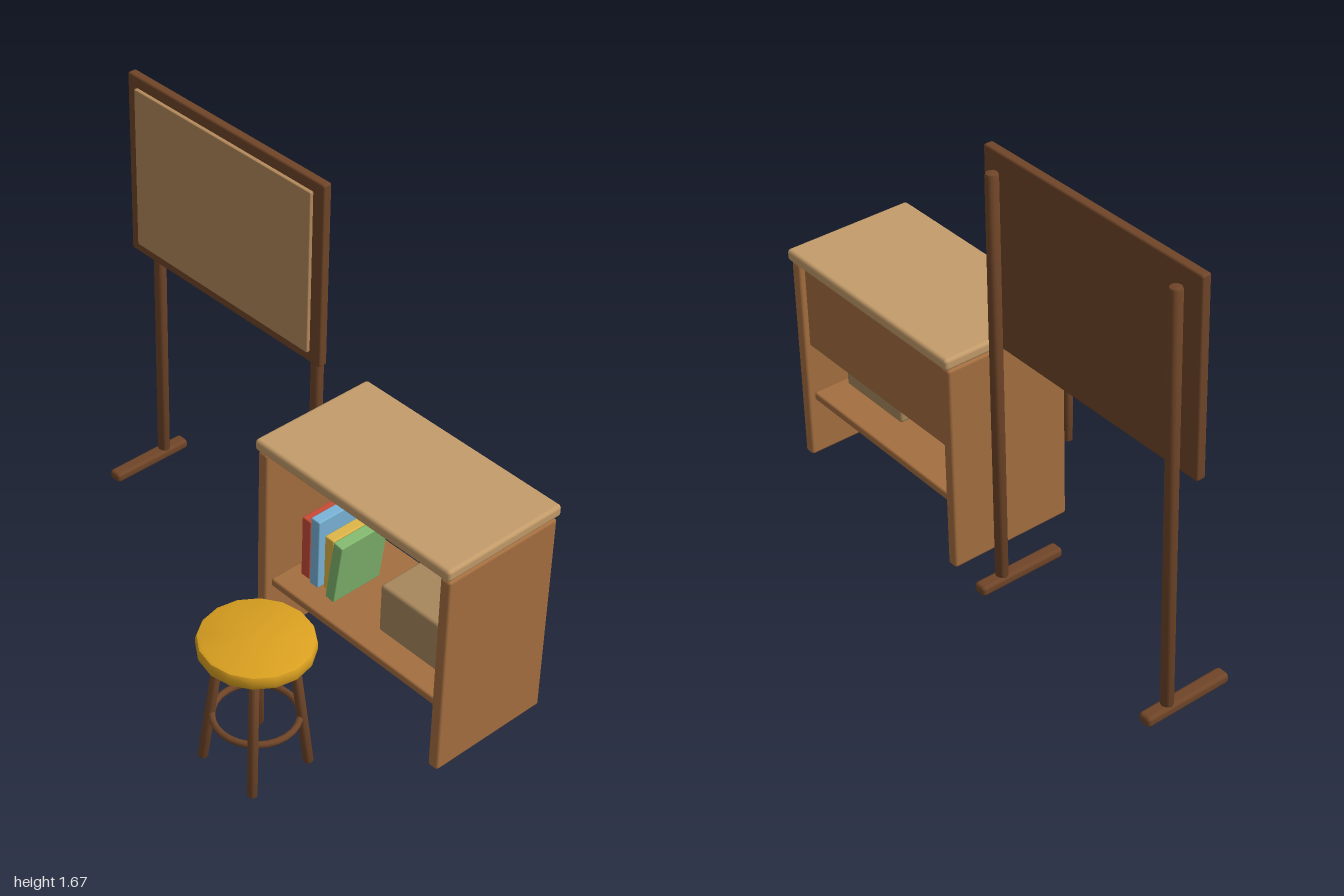
import * as THREE from 'three';
import { RoundedBoxGeometry } from 'three/addons/geometries/RoundedBoxGeometry.js';
import { toCreasedNormals } from 'three/addons/utils/BufferGeometryUtils.js';

const mat = (color) => new THREE.MeshStandardMaterial({ color });
const darkWood = mat(0x6f4528), midWood = mat(0xa56f40), lightWood = mat(0xc49c6a);
const cork = mat(0xb58a5c), cardboard = mat(0xa8875c), gold = mat(0xdaa020);

function add(parent, name, geometry, material) {
  const mesh = new THREE.Mesh(geometry, material);
  mesh.name = name;
  parent.add(mesh);
  return mesh;
}

// Soft-edged box given by its extents along x, y and z
function slab(parent, name, [x0, x1], [y0, y1], [z0, z1], material, bevel = 0.008) {
  const geometry = new RoundedBoxGeometry(x1 - x0, y1 - y0, z1 - z0, 2, bevel);
  const mesh = add(parent, name, geometry, material);
  mesh.position.set((x0 + x1) / 2, (y0 + y1) / 2, (z0 + z1) / 2);
  return mesh;
}

// Upright disc or rod with bevelled rims, base at y = 0
function bevelledRod(radius, height, bevel, sides) {
  const profile = [
    [0, 0], [radius - bevel, 0], [radius - bevel * 0.3, bevel * 0.3], [radius, bevel],
    [radius, height - bevel], [radius - bevel * 0.3, height - bevel * 0.3],
    [radius - bevel, height], [0, height],
  ].map(([x, y]) => new THREE.Vector2(x, y));
  return toCreasedNormals(new THREE.LatheGeometry(profile, sides), 0.7);
}

function createBoard() {
  const board = new THREE.Group();
  board.name = 'noticeBoard';
  slab(board, 'boardFrame', [-1, 0.005], [0.95, 1.675], [-0.436, -0.4], darkWood);
  slab(board, 'boardPanel', [-0.95, -0.045], [0.995, 1.632], [-0.425, -0.386], cork, 0.004);
  for (const x of [-0.921, -0.073]) {
    const post = add(board, 'boardPost', bevelledRod(0.023, 1.6, 0.01, 16), darkWood);
    post.position.set(x, 0.018, -0.465);
    slab(board, 'boardFoot', [x - 0.027, x + 0.027], [0.004, 0.044], [-0.565, -0.217], darkWood, 0.014);
  }
  return board;
}

function createDesk() {
  const desk = new THREE.Group();
  desk.name = 'desk';
  slab(desk, 'deskTop', [0.082, 0.996], [0.83, 0.876], [-0.555, -0.038], lightWood, 0.014);
  for (const x of [0.088, 0.949]) {
    slab(desk, 'deskSide', [x, x + 0.044], [0.004, 0.825], [-0.54, -0.048], midWood, 0.011);
  }
  slab(desk, 'backPanel', [0.138, 0.94], [0.487, 0.816], [-0.525, -0.495], midWood);
  slab(desk, 'shelf', [0.138, 0.94], [0.25, 0.282], [-0.52, -0.07], midWood);
  slab(desk, 'storageBox', [0.576, 0.904], [0.284, 0.485], [-0.4, -0.165], cardboard, 0.012);

  // Books: centre x, height, depth, lean, colour
  const books = [
    [0.211, 0.255, 0.18, 0, 0xc84a36],
    [0.265, 0.29, 0.2, 0, 0x7ab4d8],
    [0.315, 0.23, 0.16, 0, 0xdfb648],
    [0.372, 0.262, 0.22, -0.13, 0x82b86e],
  ];
  for (const [x, height, depth, lean, color] of books) {
    const book = slab(desk, 'book', [x - 0.021, x + 0.021], [0.285, 0.285 + height],
      [-0.253 - depth / 2, -0.253 + depth / 2], mat(color), 0.005);
    book.rotation.z = lean;
  }
  return desk;
}

function createStool() {
  const stool = new THREE.Group();
  stool.name = 'stool';
  stool.position.set(0.549, 0, 0.363);
  add(stool, 'seat', bevelledRod(0.198, 0.055, 0.014, 16), gold).position.y = 0.49;

  // Splayed legs on the diagonals
  const up = new THREE.Vector3(0, 1, 0);
  for (const sx of [-1, 1]) {
    for (const sz of [-1, 1]) {
      const foot = new THREE.Vector3(sx * 0.125, 0.003, sz * 0.125);
      const span = new THREE.Vector3(sx * 0.083, 0.5, sz * 0.083).sub(foot);
      const leg = add(stool, 'stoolLeg', bevelledRod(0.018, span.length(), 0.004, 12), darkWood);
      leg.position.copy(foot);
      leg.quaternion.setFromUnitVectors(up, span.normalize());
    }
  }
  const ring = add(stool, 'footRing', new THREE.TorusGeometry(0.146, 0.012, 8, 28), darkWood);
  ring.rotation.x = Math.PI / 2;
  ring.position.y = 0.205;
  return stool;
}

export function createModel() {
  const model = new THREE.Group();
  model.name = 'studyCorner';
  model.add(createBoard(), createDesk(), createStool());
  return model;
}
